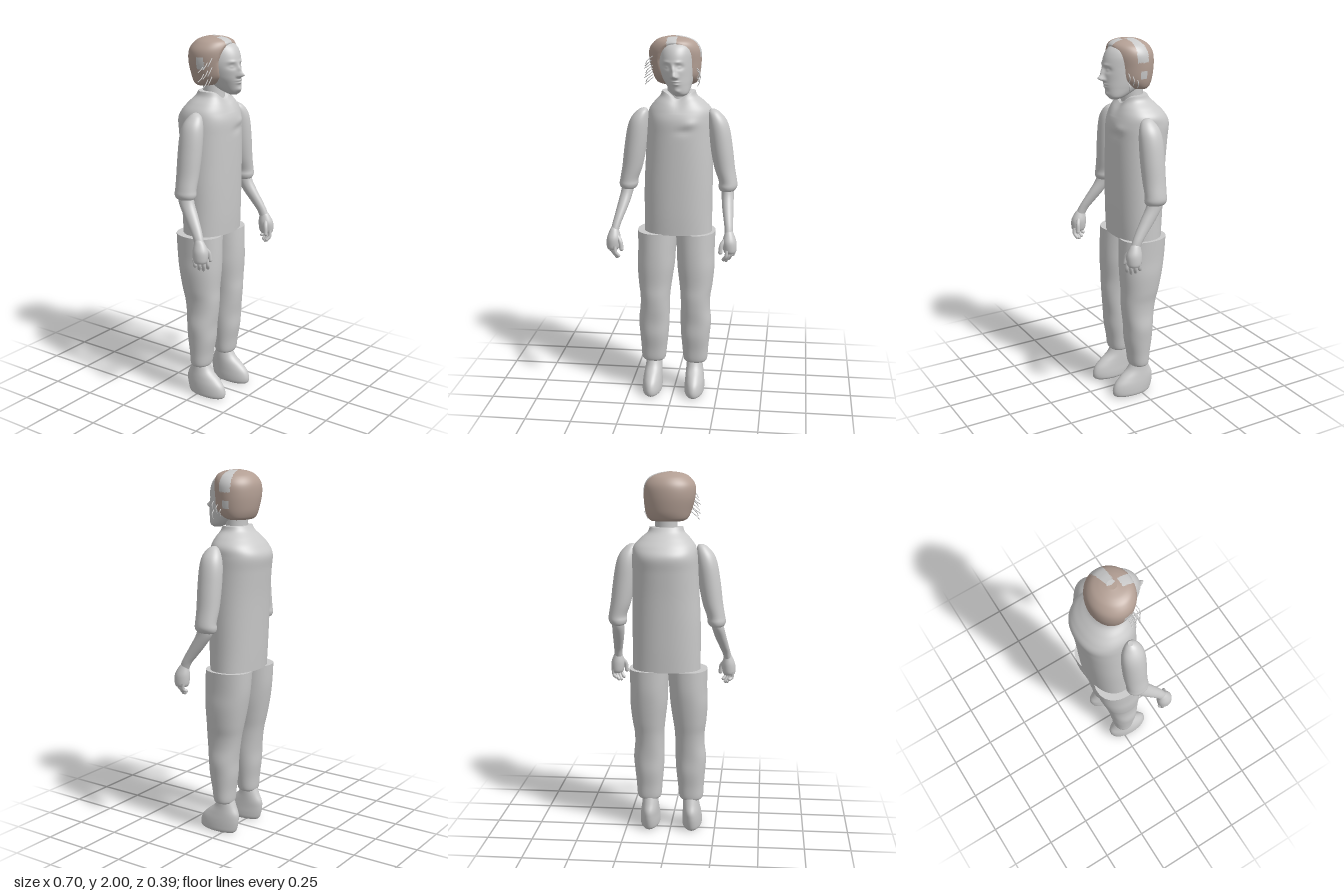
import * as THREE from 'three';

const grey = new THREE.MeshStandardMaterial({ color: 0xcacaca, side: THREE.DoubleSide });
grey.name = 'plain grey';
const brown = new THREE.MeshStandardMaterial({ color: 0xb39f94, side: THREE.DoubleSide });
brown.name = 'hair brown';

// Smooth loft through level sections [y, xMin, xMax, zMin, zMax], listed bottom to top.
// p squares off the ovals, bend moves each vertex, paint picks a material index per face.
function loft(name, sections, { rows = 40, seg = 40, p = 1, bend, paint } = {}) {
  const curves = [0, 1, 2, 3, 4].map(k => new THREE.SplineCurve(sections.map(s => new THREE.Vector2(s[k], 0))));
  const pos = [], faces = [[], []], v = new THREE.Vector3();
  const pow = t => Math.sign(t) * Math.abs(t) ** p;
  const push = (x, y, z) => {
    v.set(x, y, z);
    if (bend) bend(v);
    pos.push(v.x, v.y, v.z);
  };
  const ring = t => {
    const [y, x0, x1, z0, z1] = curves.map(c => c.getPoint(t).x);
    for (let j = 0; j < seg; j++) {
      const a = j / seg * Math.PI * 2;
      push((x0 + x1) / 2 + (x1 - x0) / 2 * pow(Math.sin(a)), y, (z0 + z1) / 2 + (z1 - z0) / 2 * pow(Math.cos(a)));
    }
    return [(x0 + x1) / 2, y, (z0 + z1) / 2];
  };
  const face = (a, b, c) => {
    const mid = k => (pos[a * 3 + k] + pos[b * 3 + k] + pos[c * 3 + k]) / 3;
    faces[paint ? paint(mid(0), mid(1), mid(2)) : 0].push(a, b, c);
  };
  for (let i = 0; i <= rows; i++) ring(i / rows);
  for (let i = 0; i < rows; i++) for (let j = 0; j < seg; j++) {
    const a = i * seg + j, b = i * seg + (j + 1) % seg;
    face(a, b, b + seg);
    face(a, b + seg, a + seg);
  }
  for (const end of [0, 1]) {                       // flat end caps with their own normals
    const start = pos.length / 3;
    push(...ring(end));
    for (let j = 0; j < seg; j++) {
      const a = start + j, b = start + (j + 1) % seg;
      if (end) face(a, b, start + seg); else face(b, a, start + seg);
    }
  }
  const g = new THREE.BufferGeometry();
  g.setAttribute('position', new THREE.Float32BufferAttribute(pos, 3));
  g.setIndex([...faces[0], ...faces[1]]);
  if (paint) {
    g.addGroup(0, faces[0].length, 0);
    g.addGroup(faces[0].length, faces[1].length, 1);
  }
  g.computeVertexNormals();
  const m = new THREE.Mesh(g, paint ? [brown, grey] : grey);
  m.name = name;
  return m;
}

// Round rod with a rounded tip
function rod(name, points, r) {
  const pts = points.map(q => new THREE.Vector3(...q));
  const group = new THREE.Group();
  group.name = name;
  const tip = new THREE.Mesh(new THREE.SphereGeometry(r, 12, 8), grey);
  tip.position.copy(pts[pts.length - 1]);
  group.add(new THREE.Mesh(new THREE.TubeGeometry(new THREE.CatmullRomCurve3(pts), 10, r, 10), grey), tip);
  return group;
}

const mirror = (s, list) => s > 0 ? list : list.map(([y, a, b, c, d]) => [y, -b, -a, c, d]);
const bell = (x, y, sx, sy) => Math.exp(-((x / sx) ** 2) - (y / sy) ** 2);

// Face relief: [offset from centre line, y, depth, width, height]
const relief = [
  [0, 1.808, 0.03, 0.014, 0.014], [0, 1.835, 0.014, 0.011, 0.025], [0, 1.778, 0.006, 0.02, 0.005],
  [0, 1.764, 0.006, 0.017, 0.006], [0, 1.728, 0.007, 0.02, 0.012],
  ...[-1, 1].flatMap(s => [
    [s * 0.034, 1.853, -0.013, 0.02, 0.013], [s * 0.034, 1.852, 0.008, 0.012, 0.008],
    [s * 0.03, 1.878, 0.004, 0.02, 0.007], [s * 0.013, 1.802, 0.009, 0.007, 0.007],
  ]),
];

function createHead() {
  const head = new THREE.Group();
  head.name = 'head';
  head.add(loft('neck', [[1.62, -0.05, 0.09, -0.075, 0.055], [1.7, -0.038, 0.083, -0.065, 0.05], [1.8, -0.038, 0.083, -0.07, 0.05]]));
  head.add(loft('face', [
    [1.698, 0.02, 0.06, 0.085, 0.125], [1.715, -0.005, 0.085, 0.04, 0.143], [1.76, -0.04, 0.1, -0.055, 0.153],
    [1.8, -0.063, 0.106, -0.09, 0.156], [1.86, -0.078, 0.108, -0.105, 0.158], [1.92, -0.075, 0.108, -0.105, 0.145],
    [1.96, -0.06, 0.095, -0.085, 0.115], [1.985, -0.03, 0.06, -0.04, 0.06],
  ], {
    rows: 100, seg: 110,
    bend: v => {
      if (v.z < 0.08) return;
      const axis = 0.018 + (1.8 - v.y) * 0.18, y = v.y;
      for (const [x, h, d, sx, sy] of relief) v.z += d * bell(v.x - axis - x, y - h, sx, sy);
    },
  }));
  // Hair with bare patches on the crown and sides
  head.add(loft('hair', [
    [1.745, -0.07, 0.1, -0.085, 0.02], [1.76, -0.095, 0.12, -0.1, 0.06], [1.8, -0.113, 0.136, -0.115, 0.1],
    [1.87, -0.132, 0.143, -0.125, 0.11], [1.93, -0.132, 0.14, -0.12, 0.115], [1.97, -0.105, 0.115, -0.095, 0.108],
    [1.99, -0.07, 0.075, -0.06, 0.08], [2.0, -0.02, 0.03, -0.02, 0.03],
  ], {
    rows: 60, seg: 90,
    bend: v => { v.z = Math.min(v.z, 0.085 + Math.max(0, v.y - 1.88) * 0.25); },
    paint: (x, y, z) => {
      const crown = y > 1.89 && x > 0.01 && z < 0.025 && z > -0.015 - 0.25 * Math.max(0, x - 0.02);
      const fringe = y > 1.95 && z > 0.045 && x > -0.03 && x < 0.022;
      const rightSide = x < -0.11 && Math.abs(z - 0.01) < 0.022 && Math.abs(y - 1.87) < 0.03;
      const leftSide = x > 0.1 && Math.abs(z + 0.015) < 0.018 && Math.abs(y - 1.825) < 0.02;
      return crown || fringe || rightSide || leftSide ? 1 : 0;
    },
  }));
  // Loose wisps beside the face
  for (let i = 0; i < 8; i++) {
    const y = 1.9 - i * 0.016, z = 0.07 - (i % 3) * 0.025;
    head.add(rod('wisp', [[-0.105, y, z], [-0.135, y - 0.025, z + 0.005], [-0.142 - (i % 3) * 0.008, y - 0.04, z]], 0.0022));
    if (i < 4) head.add(rod('wisp', [[0.125, y - 0.06, z], [0.14, y - 0.08, z], [0.13, y - 0.105, z]], 0.0022));
  }
  return head;
}

function createArm(s) {
  const arm = new THREE.Group();
  arm.name = s > 0 ? 'leftArm' : 'rightArm';
  const bend = v => { v.x += 0.022 * THREE.MathUtils.clamp((v.y - 0.97) / 0.25, 0, 1); };
  arm.add(loft('sleeve', mirror(s, [
    [1.172, 0.24, 0.3, -0.04, 0.045], [1.18, 0.228, 0.312, -0.052, 0.058], [1.2, 0.22, 0.321, -0.058, 0.066],
    [1.23, 0.219, 0.318, -0.056, 0.064], [1.3, 0.195, 0.306, -0.06, 0.066], [1.4, 0.175, 0.294, -0.062, 0.07],
    [1.5, 0.163, 0.278, -0.06, 0.07], [1.56, 0.16, 0.258, -0.048, 0.063], [1.6, 0.162, 0.225, -0.025, 0.045],
    [1.617, 0.172, 0.2, -0.005, 0.02],
  ]), { bend }));
  arm.add(loft('forearm', mirror(s, [
    [0.96, 0.288, 0.33, 0.11, 0.165], [1.0, 0.281, 0.327, 0.09, 0.15], [1.04, 0.27, 0.322, 0.058, 0.13],
    [1.1, 0.253, 0.315, 0.01, 0.095], [1.16, 0.242, 0.308, -0.03, 0.062], [1.22, 0.235, 0.302, -0.045, 0.045],
  ]), { bend }));
  arm.add(loft('palm', mirror(s, [
    [0.868, 0.288, 0.346, 0.115, 0.18], [0.885, 0.28, 0.352, 0.106, 0.188], [0.93, 0.276, 0.35, 0.103, 0.188],
    [0.97, 0.286, 0.335, 0.108, 0.168], [0.99, 0.292, 0.325, 0.11, 0.15],
  ]), { rows: 20, seg: 24 }));
  // Four fingers along a slanted knuckle line, then the thumb
  for (let i = 0; i < 4; i++) {
    const x = s * (0.338 - i * 0.012), z = 0.123 + i * 0.019, drop = [0.02, 0.005, 0, 0.01][i];
    arm.add(rod('finger', [[x, 0.89, z], [x - s * 0.004, 0.855, z + 0.002], [x - s * 0.018, 0.825 + drop, z - 0.008]], 0.0095));
  }
  arm.add(rod('thumb', [[s * 0.295, 0.945, 0.155], [s * 0.273, 0.915, 0.17], [s * 0.267, 0.875, 0.175]], 0.0115));
  return arm;
}

function createLeg(s) {
  const leg = new THREE.Group();
  leg.name = s > 0 ? 'leftLeg' : 'rightLeg';
  leg.add(loft('trouserLeg', mirror(s, [
    [0.172, 0.075, 0.16, -0.035, 0.04], [0.18, 0.058, 0.178, -0.045, 0.056], [0.2, 0.05, 0.186, -0.05, 0.064],
    [0.26, 0.044, 0.19, -0.055, 0.072], [0.34, 0.036, 0.197, -0.066, 0.086], [0.42, 0.032, 0.203, -0.07, 0.09],
    [0.5, 0.032, 0.195, -0.08, 0.1], [0.57, 0.03, 0.196, -0.092, 0.106], [0.64, 0.022, 0.206, -0.108, 0.106],
    [0.74, 0.009, 0.214, -0.128, 0.112], [0.83, 0.004, 0.212, -0.142, 0.113], [0.94, -0.004, 0.214, -0.15, 0.11],
  ]), { rows: 60, p: 0.92, bend: v => { v.x += 0.011 * v.y; } }));
  leg.add(loft('foot', mirror(s, [
    [0, 0.078, 0.16, -0.055, 0.15], [0.012, 0.066, 0.173, -0.066, 0.164], [0.04, 0.064, 0.175, -0.075, 0.166],
    [0.075, 0.066, 0.173, -0.081, 0.152], [0.11, 0.068, 0.168, -0.08, 0.118], [0.15, 0.07, 0.162, -0.062, 0.07],
    [0.2, 0.073, 0.158, -0.042, 0.042],
  ]), { rows: 32 }));
  return leg;
}

export function createModel() {
  const model = new THREE.Group();
  model.name = 'standingFigure';
  // Loose top with a dipped neckline and a few soft creases on the chest
  model.add(loft('top', [
    [0.938, -0.166, 0.206, -0.148, 0.11], [1.05, -0.166, 0.205, -0.156, 0.116], [1.2, -0.165, 0.206, -0.165, 0.12],
    [1.35, -0.158, 0.205, -0.175, 0.122], [1.48, -0.152, 0.203, -0.188, 0.122], [1.56, -0.148, 0.202, -0.196, 0.12],
    [1.61, -0.138, 0.196, -0.17, 0.105], [1.65, -0.11, 0.162, -0.135, 0.09], [1.685, -0.077, 0.122, -0.1, 0.074],
    [1.712, -0.068, 0.112, -0.082, 0.062],
  ], {
    rows: 70, seg: 64, p: 0.9,
    bend: v => {
      if (v.z < 0) return;
      v.z += 0.006 * bell(v.x - 0.1, v.y - 1.55, 0.035, 0.02) - 0.006 * bell(v.x - 0.06, v.y - 1.51, 0.04, 0.02);
      if (v.y > 1.6) v.y -= 0.045 * (v.y - 1.6) / 0.11 * bell(v.x - 0.025, 0, 0.05, 1) * Math.min(1, v.z / 0.05);
    },
  }));
  model.add(createHead());
  for (const s of [-1, 1]) model.add(createArm(s), createLeg(s));
  return model;
}
